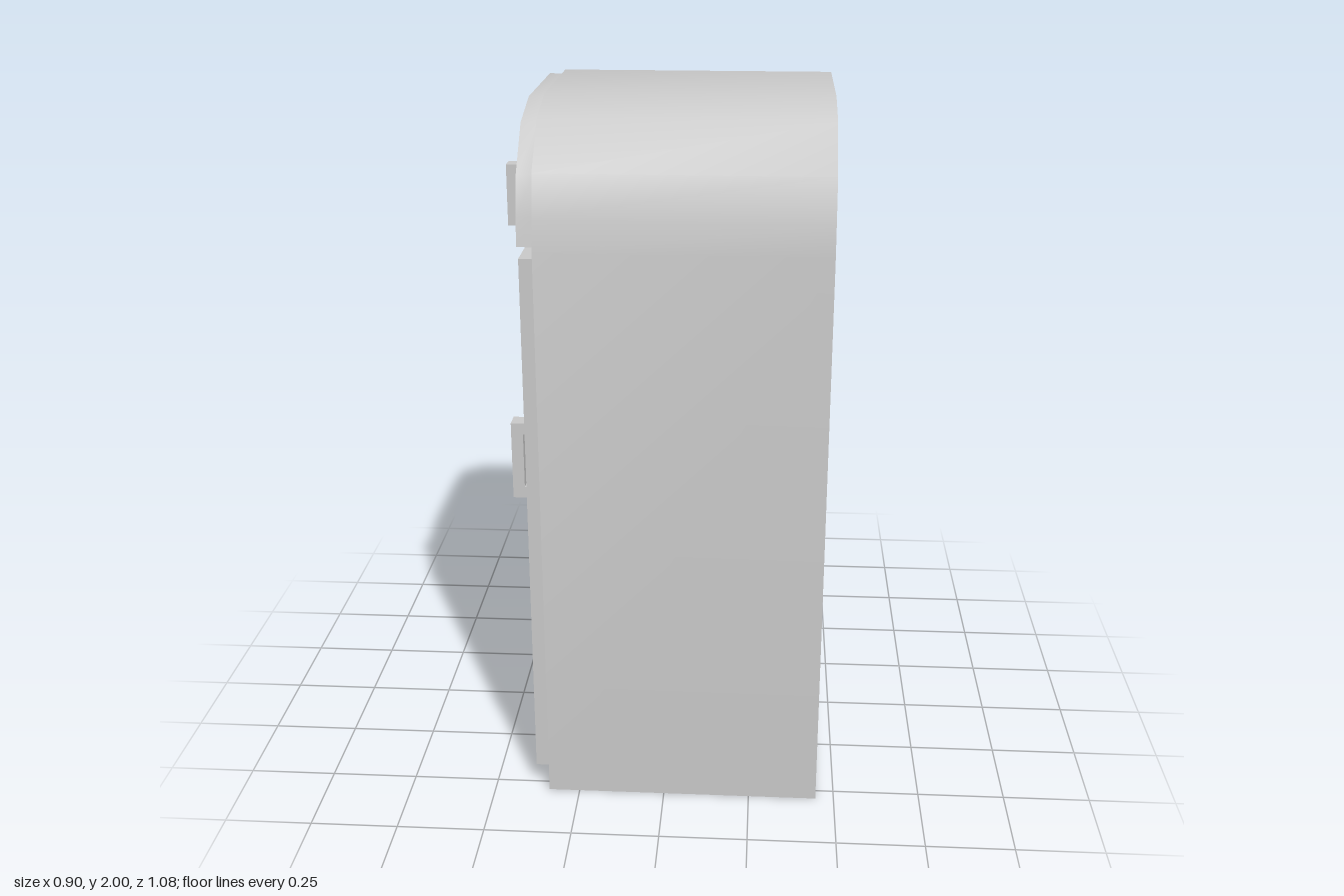
import * as THREE from 'three';
import { toCreasedNormals } from 'three/addons/utils/BufferGeometryUtils.js';

const material = new THREE.MeshStandardMaterial({ color: 0xcccccc });

function addMesh(group, name, geometry) {
  const mesh = new THREE.Mesh(geometry, material);
  mesh.name = name;
  group.add(mesh);
}

// Mirror a half outline of [z, y] points and extrude it along x.
function archedPanel(half, x0, x1) {
  const mirrored = half.map(([z, y]) => [-z, y]).reverse();
  const shape = new THREE.Shape([...half, ...mirrored].map(([z, y]) => new THREE.Vector2(z, y)));
  const geometry = new THREE.ExtrudeGeometry(shape, { depth: x1 - x0, bevelEnabled: false });
  geometry.rotateY(Math.PI / 2).translate(x0, 0, 0);
  return toCreasedNormals(geometry, 0.7);
}

// C-shaped pull: two arms and a grip, extruded across z.
function pullHandle(xOut, xGrip, xDoor, y0, y1, arm, z0, z1) {
  const outline = [
    [xOut, y0], [xDoor, y0], [xDoor, y0 + arm], [xGrip, y0 + arm],
    [xGrip, y1 - arm], [xDoor, y1 - arm], [xDoor, y1], [xOut, y1],
  ];
  const shape = new THREE.Shape(outline.map(([x, y]) => new THREE.Vector2(x, y)));
  return new THREE.ExtrudeGeometry(shape, { depth: z1 - z0, bevelEnabled: false }).translate(0, 0, z0);
}

export function createModel() {
  const group = new THREE.Group();
  group.name = 'refrigerator';

  // Cabinet with rounded roof
  addMesh(group, 'cabinet', archedPanel(
    [[0.54, 0], [0.54, 1.64], [0.525, 1.725], [0.5, 1.84], [0.38, 1.96], [0.22, 2]], -0.34, 0.447));

  // Doors on the -x side
  addMesh(group, 'freezerDoor', archedPanel(
    [[0.512, 1.647], [0.5, 1.725], [0.475, 1.83], [0.365, 1.947], [0.21, 1.99]], -0.385, -0.34));
  addMesh(group, 'mainDoor', archedPanel([[0.51, 0.065], [0.51, 1.615]], -0.381, -0.34));

  // Handles
  addMesh(group, 'freezerHandle', pullHandle(-0.434, -0.408, -0.383, 1.66, 1.828, 0.025, 0.29, 0.334));
  addMesh(group, 'mainHandle', pullHandle(-0.449, -0.415, -0.379, 0.853, 1.083, 0.033, 0.28, 0.334));

  return group;
}
